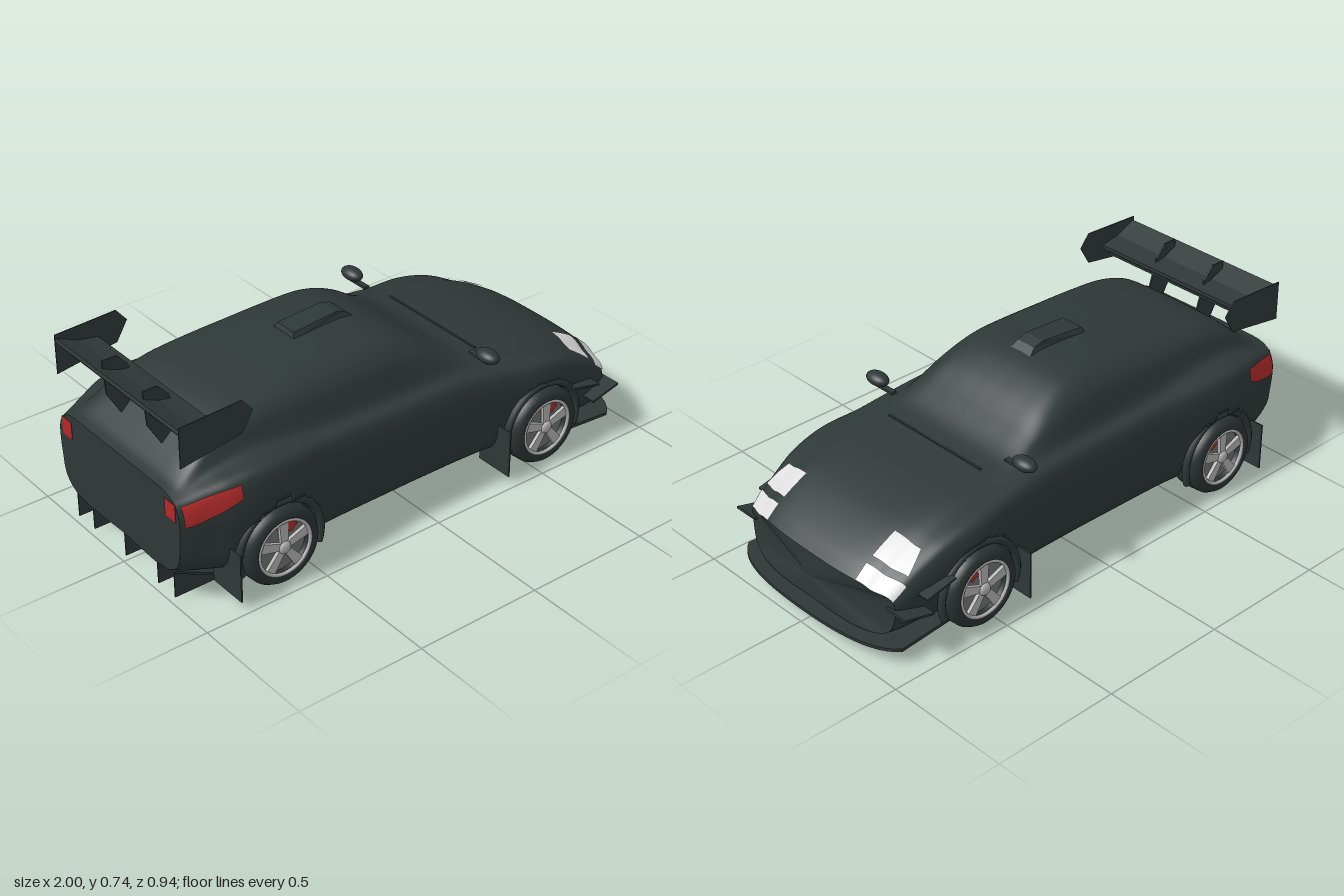
import * as THREE from 'three';

const mat = (name, color, side = THREE.FrontSide) => {
  const m = new THREE.MeshStandardMaterial({ color, side });
  m.name = name;
  return m;
};

// Body stations: x, floor y, half width, shoulder y, cabin half width, top y, roof half width
const STATIONS = [
  [-1.0, 0.13, 0.365, 0.435, 0.33, 0.455, 0.27],
  [-0.96, 0.115, 0.38, 0.445, 0.33, 0.467, 0.26],
  [-0.9, 0.1, 0.398, 0.465, 0.325, 0.51, 0.25],
  [-0.82, 0.085, 0.425, 0.487, 0.325, 0.58, 0.24],
  [-0.7, 0.075, 0.442, 0.505, 0.33, 0.625, 0.24],
  [-0.55, 0.073, 0.435, 0.5, 0.335, 0.645, 0.24],
  [-0.4, 0.07, 0.415, 0.485, 0.34, 0.656, 0.24],
  [-0.1, 0.07, 0.407, 0.475, 0.34, 0.666, 0.24],
  [0.0, 0.07, 0.405, 0.473, 0.34, 0.65, 0.24],
  [0.1, 0.07, 0.405, 0.472, 0.34, 0.603, 0.245],
  [0.2, 0.07, 0.405, 0.467, 0.338, 0.533, 0.25],
  [0.3, 0.07, 0.408, 0.456, 0.335, 0.476, 0.25],
  [0.4, 0.07, 0.415, 0.442, 0.33, 0.457, 0.245],
  [0.55, 0.07, 0.432, 0.425, 0.33, 0.443, 0.24],
  [0.7, 0.07, 0.424, 0.39, 0.325, 0.408, 0.235],
  [0.8, 0.075, 0.413, 0.35, 0.32, 0.37, 0.235],
  [0.9, 0.075, 0.398, 0.295, 0.31, 0.315, 0.235],
  [0.95, 0.08, 0.385, 0.255, 0.3, 0.272, 0.235],
];
const AXLES = [-0.64, 0.555], WHEEL_Y = 0.155;

// Smooth interpolation of the stations
function station(x) {
  const S = STATIONS, last = S.length - 1;
  let i = 0;
  while (i < last - 1 && x > S[i + 1][0]) i++;
  const h = S[i + 1][0] - S[i][0], t = (x - S[i][0]) / h;
  const slope = (k, c) => {
    const a = S[Math.max(k - 1, 0)], b = S[Math.min(k + 1, last)];
    return (b[c] - a[c]) / (b[0] - a[0]);
  };
  return S[i].map((p, c) => c === 0 ? x :
    p * (2 * t ** 3 - 3 * t * t + 1) + S[i + 1][c] * (3 * t * t - 2 * t ** 3) +
    h * slope(i, c) * (t ** 3 - 2 * t * t + t) + h * slope(i + 1, c) * (t ** 3 - t * t));
}

const sections = new Map();
function section(x) {
  if (!sections.has(x)) {
    const [, yb, w, ys, wc, yt, wr] = station(x), h = ys - yb, r = yt - ys;
    sections.set(x, new THREE.CatmullRomCurve3([
      [0, yb], [w * 0.75, yb], [w * 0.94, yb + h * 0.16], [w * 0.99, yb + h * 0.45], [w, yb + h * 0.8],
      [w * 0.95, yb + h * 0.95], [wc, ys], [wc * 0.55 + wr * 0.45, ys + r * 0.6], [wr, ys + r * 0.87],
      [wr * 0.6, yt - r * 0.03], [0, yt],
    ].map(([z, y]) => new THREE.Vector3(0, y, z)), false, 'centripetal'));
  }
  return sections.get(x);
}

// Body skin: v runs once round the section, from the floor over the left side to the right
function skin(x, v, arches = true) {
  const p = section(x).getPoint(v <= 0.5 ? v * 2 : 2 - v * 2);
  if (arches && AXLES.some(a => Math.hypot(x - a, p.y - WHEEL_Y) < 0.168)) p.z = Math.min(p.z, 0.31);
  const nose = THREE.MathUtils.smoothstep(x, 0.6, 0.95);
  p.x = x - 0.06 * nose * (p.z / 0.4) ** 3;
  if (v > 0.5) p.z *= -1;
  return p;
}

function grid(fn, nu, nv) {
  const pos = [], idx = [];
  for (let i = 0; i <= nu; i++) for (let j = 0; j <= nv; j++) pos.push(...fn(i / nu, j / nv).toArray());
  for (let i = 0; i < nu; i++) for (let j = 0; j < nv; j++) {
    const a = i * (nv + 1) + j, b = a + nv + 1;
    idx.push(a, b, b + 1, a, b + 1, a + 1);
  }
  const g = new THREE.BufferGeometry();
  g.setAttribute('position', new THREE.Float32BufferAttribute(pos, 3));
  g.setIndex(idx);
  g.computeVertexNormals();
  return g;
}

// Thin painted patch lying just above the skin; t = 0 floor centre, 1 roof centre
function patch(x0, x1, low, high, side) {
  return grid((u, w) => {
    const x = x0 + (x1 - x0) * u, t = low(u) + (high(u) - low(u)) * (side > 0 ? w : 1 - w);
    const v = side > 0 ? t / 2 : 1 - t / 2, e = 0.002;
    const p = skin(x, v, false);
    const du = skin(Math.min(x + e, 0.95), v, false).sub(skin(x - e, v, false));
    const dv = skin(x, v + e, false).sub(skin(x, v - e, false));
    return p.addScaledVector(du.cross(dv).normalize(), 0.005);
  }, 12, 16);
}

// Flat plate with a side-view outline, centred on z
function plate(pts, depth, z = 0) {
  const shape = new THREE.Shape(pts.map(([x, y]) => new THREE.Vector2(x, y)));
  return new THREE.ExtrudeGeometry(shape, { depth, bevelEnabled: false }).translate(0, 0, z - depth / 2);
}

export function createModel() {
  const car = new THREE.Group();
  car.name = 'car';
  const paint = mat('dark paint', 0x2e3837, THREE.DoubleSide), rubber = mat('tyre rubber', 0x2a3332);
  const white = mat('lamp white', 0xdcdcdc), red = mat('signal red', 0xb02a2a);
  const silver = mat('wheel silver', 0xb4b4b4), steel = mat('brake steel', 0x707272);
  const add = (name, geo, m, parent = car) => {
    const mesh = new THREE.Mesh(geo, m);
    mesh.name = name;
    parent.add(mesh);
    return mesh;
  };
  const box = (w, h, d, x, y, z) => new THREE.BoxGeometry(w, h, d).translate(x, y, z);

  // Body shell with rounded nose and tail panels
  add('bodyShell', grid((u, v) => skin(-1 + 1.95 * u, v), 150, 120), paint);
  add('nosePanel', grid((u, v) => skin(0.95, v).lerp(new THREE.Vector3(0.952, 0.17, 0), u), 4, 60), paint);
  add('tailPanel', grid((u, v) => skin(-1, v).lerp(new THREE.Vector3(-1, 0.3, 0), 1 - u), 2, 60), paint);

  // Roof scoop
  const scoop = plate([[-0.3, 0.655], [-0.03, 0.655], [-0.06, 0.68], [-0.1, 0.693], [-0.29, 0.678]], 0.11);
  const sp = scoop.attributes.position;
  for (let i = 0; i < sp.count; i++) {
    if (sp.getY(i) > 0.66) sp.setZ(i, sp.getZ(i) * 0.8);
    sp.setZ(i, sp.getZ(i) * (1 + 0.5 * (-0.15 - sp.getX(i))));
  }
  scoop.computeVertexNormals();
  add('roofScoop', scoop, paint);
  add('wiperStrip', box(0.008, 0.008, 0.48, 0.38, 0.459, 0), paint);

  // Front splitter, curved in plan
  const lip = new THREE.Shape();
  lip.moveTo(0.66, -0.4);
  lip.lineTo(0.9, -0.42);
  lip.bezierCurveTo(0.98, -0.36, 1, -0.2, 1, 0);
  lip.bezierCurveTo(1, 0.2, 0.98, 0.36, 0.9, 0.42);
  lip.lineTo(0.66, 0.4);
  add('frontSplitter', new THREE.ExtrudeGeometry(lip, { depth: 0.012, bevelEnabled: false })
    .rotateX(Math.PI / 2).translate(0, 0.067, 0), paint);

  // Rear wing blades and undertray
  add('wingBlade', plate([[-0.82, 0.65], [-0.82, 0.665], [-0.9, 0.68], [-0.985, 0.717], [-0.99, 0.705], [-0.9, 0.662]], 0.742), paint);
  add('wingLowerBlade', plate([[-0.84, 0.624], [-0.84, 0.634], [-0.94, 0.652], [-0.94, 0.642]], 0.71), paint);
  add('undertray', plate([[-0.99, 0.135], [-0.99, 0.125], [-0.79, 0.025], [-0.78, 0.03]], 0.62), paint);
  for (const z of [-0.3, -0.2, 0, 0.2, 0.3])
    add('diffuserFin', plate([[-0.99, 0.13], [-0.99, 0.022], [-0.785, 0.022]], 0.005, z), paint);

  for (const s of [1, -1]) {
    // Lamps
    add('headlampUpper', patch(0.765, 0.872, u => 0.56 - 0.05 * u, () => 0.8, s), white);
    add('headlampLower', patch(0.897, 0.95, u => 0.47 - 0.02 * u, () => 0.8, s), white);
    add('tailLamp', patch(-0.985, -0.79, u => 0.37 + 0.03 * u * u, u => 0.49 - 0.02 * u, s), red);
    add('tailLampRear', box(0.006, 0.07, 0.06, -0.999, 0.39, s * 0.315), red);

    // Wing end plates and supports
    add('wingEndPlate', plate([[-0.99, 0.577], [-0.745, 0.615], [-0.7, 0.69], [-0.742, 0.741], [-0.99, 0.731]], 0.004, s * 0.371), paint);
    add('wingSupport', plate([[-0.95, 0.6], [-0.885, 0.49], [-0.82, 0.56], [-0.86, 0.69], [-0.9, 0.735], [-0.96, 0.735]], 0.006, s * 0.122), paint);

    // Door mirrors
    add('mirror', new THREE.SphereGeometry(1, 24, 16).scale(0.033, 0.025, 0.052).translate(0.31, 0.52, s * 0.385), paint);
    add('mirrorStalk', box(0.022, 0.01, 0.1, 0.31, 0.497, s * 0.345), paint);

    // Canards on the bumper corners
    for (const [x, y, tilt] of [[0.73, 0.255, -0.22], [0.83, 0.19, 0.25]]) {
      const c = add('canard', new THREE.BoxGeometry(0.13, 0.008, 0.1), paint);
      c.position.set(x + 0.02, y, s * 0.405);
      c.rotation.z = tilt;
    }

    for (const ax of AXLES) {
      // Arch lip and mud flap
      const arch = add('archLip', new THREE.TorusGeometry(0.172, 0.014, 10, 40, Math.PI + 0.7), paint);
      arch.rotation.z = -0.35;
      arch.position.set(ax, WHEEL_Y, s * 0.424);
      add('mudFlap', box(0.006, 0.19, 0.16, ax - 0.195, 0.123, s * 0.39), paint);

      // Wheel
      const wheel = new THREE.Group();
      wheel.name = 'wheel';
      wheel.position.set(ax, WHEEL_Y, s * 0.388);
      if (s < 0) wheel.rotation.y = Math.PI;
      car.add(wheel);
      const tyre = [[0.05, -0.07], [0.115, -0.07], [0.14, -0.064], [0.152, -0.045], [0.155, 0], [0.152, 0.045],
        [0.14, 0.064], [0.116, 0.07], [0.107, 0.06], [0.105, 0.02]];
      add('tyre', new THREE.LatheGeometry(tyre.map(p => new THREE.Vector2(...p)), 48).rotateX(Math.PI / 2), rubber, wheel);
      add('brakeDisc', new THREE.CylinderGeometry(0.106, 0.106, 0.02, 40).rotateX(Math.PI / 2).translate(0, 0, 0.025), steel, wheel);
      add('rim', new THREE.TorusGeometry(0.107, 0.007, 8, 48).translate(0, 0, 0.062), silver, wheel);
      add('hub', new THREE.SphereGeometry(0.024, 20, 12).scale(1, 1, 0.5).translate(0, 0, 0.062), silver, wheel);
      for (let k = 0; k < 5; k++) {
        const spoke = new THREE.Shape([[-0.013, 0.01], [0.013, 0.01], [0.02, 0.106], [-0.02, 0.106]].map(p => new THREE.Vector2(...p)));
        add('spoke', new THREE.ExtrudeGeometry(spoke, { depth: 0.014, bevelEnabled: false })
          .translate(0, 0, 0.048).rotateZ(k * Math.PI * 0.4), silver, wheel);
      }
      const pad = new THREE.Shape();
      pad.absarc(0, 0, 0.092, 0.75, 1.75, false);
      pad.absarc(0, 0, 0.055, 1.75, 0.75, true);
      const caliper = add('brakeCaliper', new THREE.ExtrudeGeometry(pad, { depth: 0.01, bevelEnabled: false })
        .translate(0, 0, 0.035), red, wheel);
      if (s < 0) caliper.rotation.z = 0.64;
    }
  }
  return car;
}
